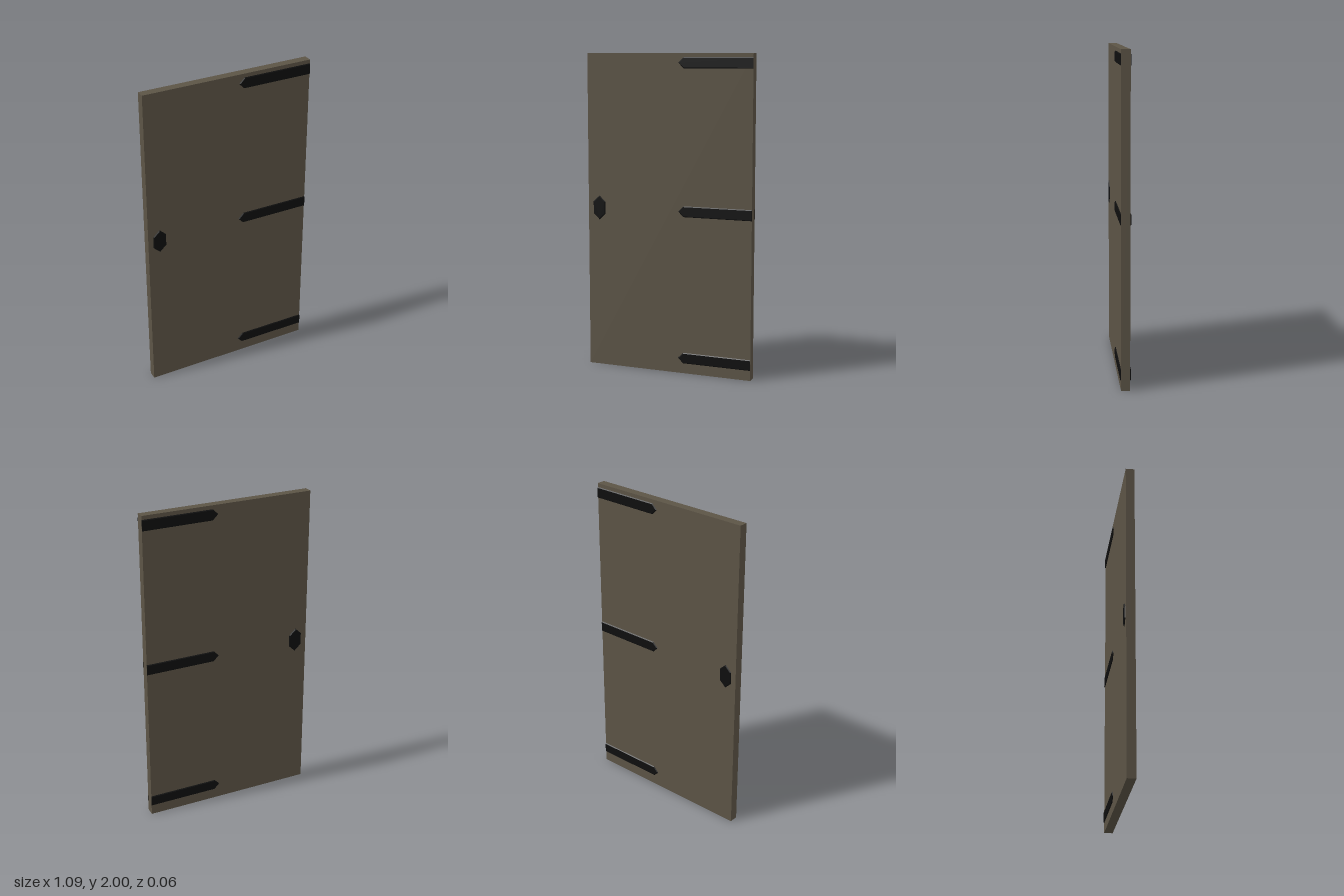
import * as THREE from 'three';

const W = 0.547, T = 0.027, PROUD = 0.005; // half width, half thickness, height of the ironwork

export function createModel() {
  const group = new THREE.Group();
  const wood = new THREE.MeshStandardMaterial({ color: 0x5c5446 });
  wood.name = 'weatheredWood';
  const iron = new THREE.MeshStandardMaterial({ color: 0x0e0e0e });
  iron.name = 'blackIron';

  // Ironwork runs through the door and stands proud on both faces with bevelled edges
  function addPlate(name, points, y) {
    const shape = new THREE.Shape(points.map(([px, py]) => new THREE.Vector2(px, py)));
    const geometry = new THREE.ExtrudeGeometry(shape, {
      depth: 2 * T, bevelThickness: PROUD, bevelSize: PROUD, bevelOffset: -PROUD, bevelSegments: 1,
    });
    // Keep the hinge end square, just inside the door edge
    const pos = geometry.attributes.position;
    for (let i = 0; i < pos.count; i++) {
      if (pos.getX(i) > W - 0.02) pos.setX(i, W - 0.0005);
    }
    geometry.translate(0, y, -T);
    geometry.computeVertexNormals();
    const mesh = new THREE.Mesh(geometry, iron);
    mesh.name = name;
    group.add(mesh);
  }

  // Door slab
  const door = new THREE.Mesh(new THREE.BoxGeometry(2 * W, 2, 2 * T), wood);
  door.name = 'doorPanel';
  door.position.y = 1;
  group.add(door);

  // Pointed strap hinges
  const strap = [[0.068, 0], [0.102, -0.034], [W, -0.034], [W, 0.034], [0.102, 0.034]];
  [['bottomHinge', 0.098], ['middleHinge', 1.03], ['topHinge', 1.942]]
    .forEach(([name, y]) => addPlate(name, strap, y));

  // Six-sided handle plate
  addPlate('handlePlate', [
    [-0.471, -0.077], [-0.429, -0.038], [-0.429, 0.038],
    [-0.471, 0.077], [-0.513, 0.038], [-0.513, -0.038],
  ], 1.026);

  return group;
}
